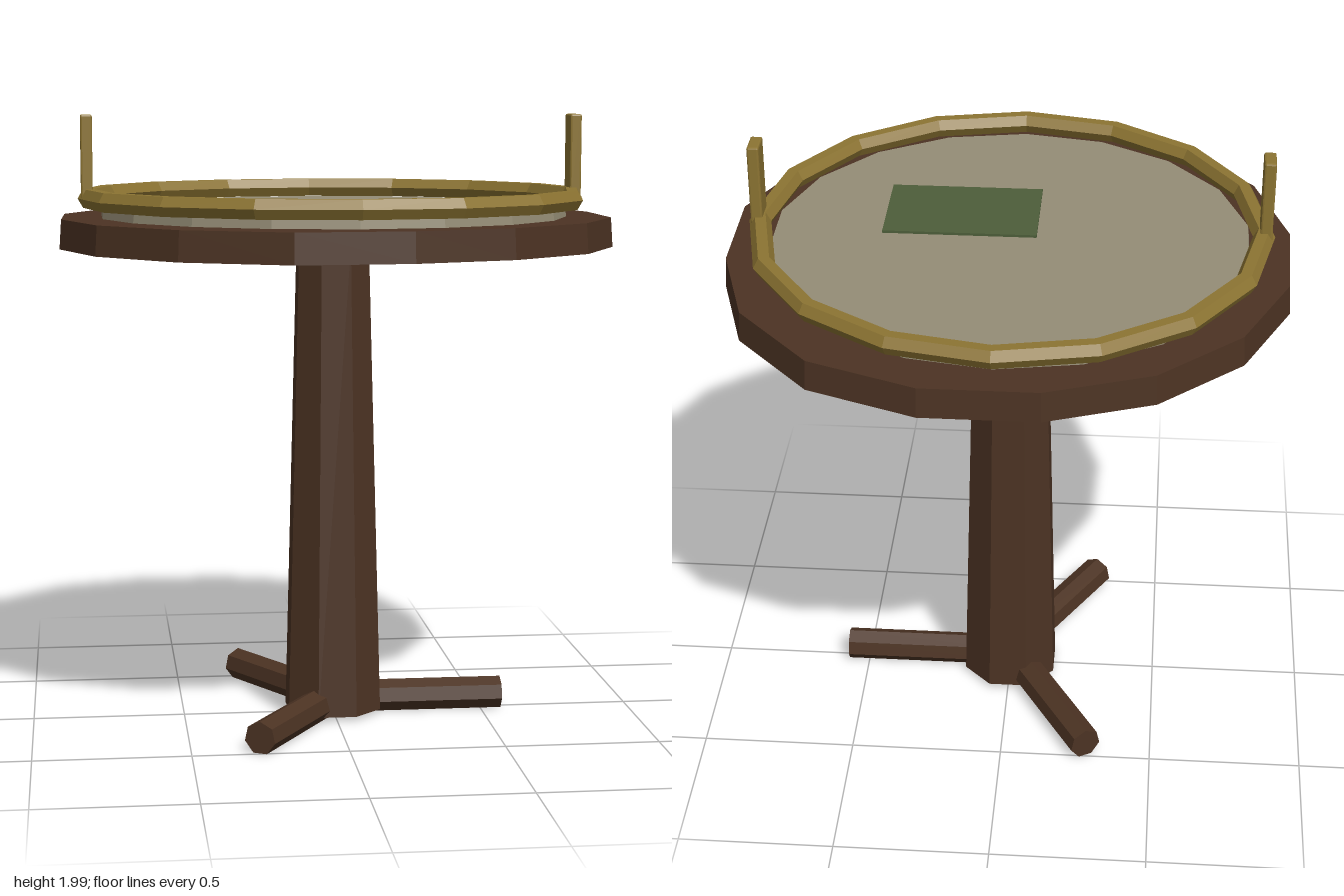
import * as THREE from 'three';
import { RoundedBoxGeometry } from 'three/addons/geometries/RoundedBoxGeometry.js';

function material(name, color) {
  const m = new THREE.MeshStandardMaterial({ color, flatShading: true });
  m.name = name;
  return m;
}

export function createModel() {
  const wood = material('dark wood', 0x4c3323);
  const hide = material('pale cloth', 0x958d76);
  const brass = material('aged brass', 0x8c7432);
  const green = material('green card', 0x4d5e3a);

  const group = new THREE.Group();
  group.name = 'pedestalTable';
  const add = (name, geometry, mat, x = 0, y = 0, z = 0) => {
    const mesh = new THREE.Mesh(geometry, mat);
    mesh.name = name;
    mesh.position.set(x, y, z);
    group.add(mesh);
    return mesh;
  };

  // Tabletop: rough-hewn sixteen-sided slab, slightly wider underneath
  const outline = [
    [-0.15, -0.9], [0.21, -0.9], [0.55, -0.77], [0.79, -0.5],
    [0.89, -0.16], [0.89, 0.2], [0.74, 0.52], [0.47, 0.75],
    [0.15, 0.87], [-0.21, 0.895], [-0.54, 0.74], [-0.78, 0.47],
    [-0.89, 0.13], [-0.88, -0.215], [-0.735, -0.54], [-0.48, -0.78],
  ].map(([x, z]) => new THREE.Vector2(x, z));
  const slab = new THREE.ExtrudeGeometry(new THREE.Shape(outline), { depth: 0.095, bevelEnabled: false });
  slab.rotateX(Math.PI / 2);
  const p = slab.attributes.position;
  for (let i = 0; i < p.count; i++) {
    if (p.getY(i) > -0.01) p.setXYZ(i, p.getX(i) * 0.993, p.getY(i), p.getZ(i) * 0.993);
  }
  slab.computeVertexNormals();
  add('tabletop', slab, wood, 0, 1.67, 0);

  // Cloth inlay and the card lying on it
  add('clothInlay', new THREE.CylinderGeometry(0.76, 0.765, 0.04, 18), hide, 0, 1.68, -0.01);
  add('card', new THREE.BoxGeometry(0.49, 0.009, 0.325), green, 0.163, 1.704, 0.153);

  // Brass rail with two upright posts
  const rail = new THREE.TorusGeometry(0.795, 0.035, 6, 16);
  rail.rotateX(Math.PI / 2);
  add('rail', rail, brass, 0, 1.73, -0.01);
  for (const side of [1, -1]) {
    add(side > 0 ? 'leftPost' : 'rightPost',
      new RoundedBoxGeometry(0.038, 0.27, 0.088, 1, 0.006), brass, side * 0.8, 1.865, -0.005);
  }

  // Tapered pedestal
  const column = new THREE.CylinderGeometry(0.124, 0.166, 1.56, 8);
  column.rotateY(Math.PI / 8);
  add('pedestal', column, wood, 0, 0.8, -0.003);

  // Three splayed feet
  for (let i = 0; i < 3; i++) {
    const foot = new THREE.CylinderGeometry(0.054, 0.054, 0.57, 7);
    foot.rotateZ(-Math.PI / 2);
    foot.translate(0.285, 0, 0);
    foot.rotateX(-Math.PI / 2);
    add('foot' + (i + 1), foot, wood, 0, 0.054, 0).rotation.y = (i * Math.PI * 2) / 3;
  }

  return group;
}
